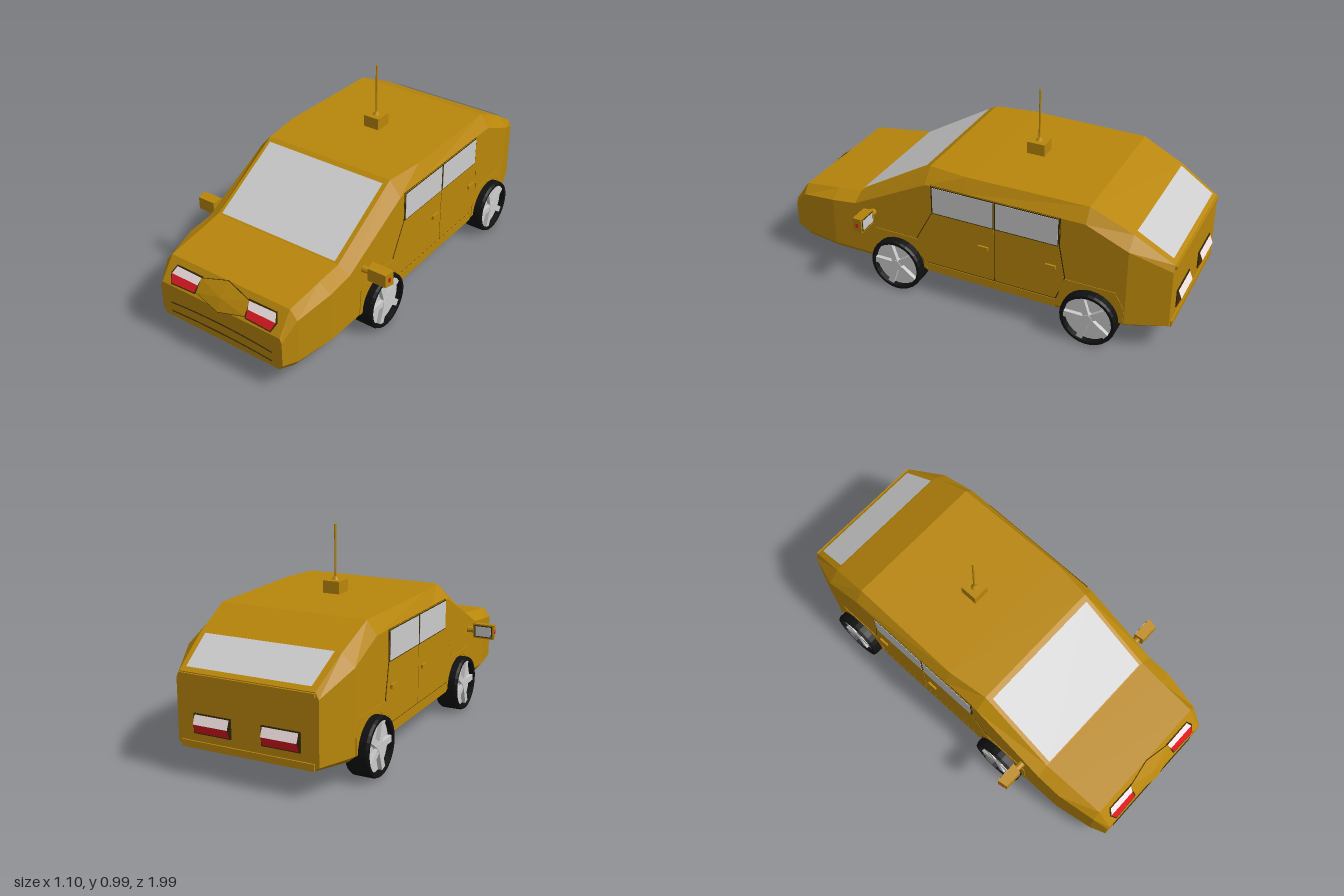
import * as THREE from 'three';

const mat = (color, extra = {}) => new THREE.MeshStandardMaterial({ color, flatShading: true, ...extra });
const GOLD = mat(0xb8860b);
const SEAM = mat(0x3a2c08, { side: THREE.DoubleSide });
const GREY = mat(0xcccccc, { side: THREE.DoubleSide });
const BLACK = mat(0x111111);
const RED = mat(0xdd1820, { side: THREE.DoubleSide });
const WHITE = mat(0xf4e4e4, { side: THREE.DoubleSide });
const GOLD2 = mat(0xb8860b, { side: THREE.DoubleSide });

function add(parent, name, geometry, material, x = 0, y = 0, z = 0) {
  const m = new THREE.Mesh(geometry, material);
  m.name = name;
  m.position.set(x, y, z);
  parent.add(m);
  return m;
}

function buffer(pos, index) {
  const g = new THREE.BufferGeometry();
  g.setAttribute('position', new THREE.Float32BufferAttribute(pos, 3));
  g.setIndex(index);
  const flat = g.toNonIndexed();
  flat.computeVertexNormals();
  return flat;
}

// Flat polygon fanned around its centre; bulge moves the centre along z
function panel(pts, bulge = 0) {
  const n = pts.length, c = [0, 1, 2].map(k => pts.reduce((t, p) => t + p[k], 0) / n);
  c[2] += bulge;
  const index = [];
  for (let i = 0; i < n; i++) index.push(0, i + 1, ((i + 1) % n) + 1);
  return buffer([c, ...pts].flat(), index);
}

// Body shell from eight-sided sections: z, bottom, sill, shoulder, top, half widths (bottom, side, top)
function bodyGeometry() {
  const sections = [
    [0.985, 0.12, 0.145, 0.265, 0.29, 0.325, 0.345, 0.335],
    [0.91, 0.10, 0.135, 0.35, 0.395, 0.345, 0.372, 0.335],
    [0.72, 0.10, 0.14, 0.385, 0.42, 0.37, 0.405, 0.34],
    [0.59, 0.10, 0.14, 0.40, 0.437, 0.37, 0.405, 0.345],
    [0.20, 0.10, 0.14, 0.60, 0.67, 0.37, 0.405, 0.345],
    [0.00, 0.10, 0.14, 0.605, 0.673, 0.37, 0.405, 0.37],
    [-0.59, 0.10, 0.14, 0.605, 0.67, 0.37, 0.405, 0.36],
    [-0.79, 0.11, 0.14, 0.52, 0.575, 0.37, 0.405, 0.345],
    [-0.975, 0.125, 0.145, 0.43, 0.46, 0.31, 0.34, 0.325],
  ];
  const pos = [], index = [], n = 8;
  for (const [z, y0, yl, ys, yt, wb, w, wt] of sections) {
    const half = [[wb, y0], [w, yl], [w, ys], [wt, yt]];
    const ring = [...half, ...half.slice().reverse().map(([x, y]) => [-x, y])];
    ring.forEach(([x, y]) => pos.push(x, y, z));
  }
  const last = (sections.length - 1) * n;
  for (let i = 0; i < last; i += n) {
    for (let j = 0; j < n; j++) {
      const a = i + j, b = i + (j + 1) % n, c = b + n, d = a + n;
      index.push(a, d, c, a, c, b);
    }
  }
  for (let j = 1; j < n - 1; j++) {
    index.push(0, j, j + 1);
    index.push(last, last + j + 1, last + j);
  }
  return buffer(pos, index);
}

// Thin side panel drawn in (z, y), placed on one flank
function flankPanel(parent, name, pts, s, x, depth, material, arch) {
  const shape = new THREE.Shape(pts.map(([z, y]) => new THREE.Vector2(-z, y)));
  if (arch) shape.absarc(-arch[0], arch[1], arch[2], Math.PI, 0, true);
  const g = new THREE.ExtrudeGeometry(shape, { depth, bevelEnabled: false });
  g.rotateY(Math.PI / 2); // shape x becomes -z, depth becomes +x
  g.translate(s > 0 ? x : -x - depth, 0, 0);
  return add(parent, name, g, material);
}

function makeWheel(s) {
  const wheel = new THREE.Group();
  const profile = [[0.11, 0], [0.128, 0], [0.135, 0.012], [0.135, 0.098], [0.13, 0.11], [0.117, 0.11], [0.114, 0.07]]
    .map(([r, y]) => new THREE.Vector2(r, y));
  add(wheel, 'tyre', new THREE.LatheGeometry(profile, 28), mat(0x111111, { side: THREE.DoubleSide }));
  add(wheel, 'innerDisc', new THREE.CylinderGeometry(0.125, 0.125, 0.01, 28), GOLD, 0, 0.003, 0);
  add(wheel, 'rimDish', new THREE.CylinderGeometry(0.116, 0.116, 0.01, 28), GREY, 0, 0.078, 0);
  add(wheel, 'hub', new THREE.CylinderGeometry(0.026, 0.032, 0.022, 10), GREY, 0, 0.094, 0);
  for (let i = 0; i < 5; i++) {
    const arm = new THREE.Group();
    arm.name = 'spoke';
    arm.rotation.y = (i / 5) * Math.PI * 2;
    add(arm, 'spokeBar', new THREE.BoxGeometry(0.03, 0.02, 0.095), GREY, 0, 0.093, 0.066);
    wheel.add(arm);
  }
  wheel.rotation.z = -s * Math.PI / 2;
  return wheel;
}

function makeMirror(s) {
  const g = new THREE.Group();
  g.name = s > 0 ? 'leftMirror' : 'rightMirror';
  const arm = add(g, 'mirrorArm', new THREE.CylinderGeometry(0.013, 0.018, 0.06, 8), GOLD, s * 0.425, 0.382, 0.487);
  arm.rotation.z = -s * Math.PI / 2;
  // Housing narrows towards the front
  const house = new THREE.BoxGeometry(0.11, 0.074, 0.05), p = house.attributes.position;
  for (let i = 0; i < p.count; i++) {
    if (p.getZ(i) > 0) p.setXYZ(i, p.getX(i) * 0.85, p.getY(i) * 0.85, p.getZ(i));
  }
  house.computeVertexNormals();
  add(g, 'mirrorHousing', house, GOLD, s * 0.495, 0.383, 0.49);
  add(g, 'mirrorFrame', new THREE.BoxGeometry(0.092, 0.06, 0.003), SEAM, s * 0.495, 0.383, 0.465);
  add(g, 'mirrorGlass', new THREE.BoxGeometry(0.082, 0.05, 0.004), GREY, s * 0.495, 0.383, 0.464);
  add(g, 'mirrorIndicator', new THREE.BoxGeometry(0.004, 0.02, 0.012), RED, s * 0.547, 0.383, 0.49);
  return g;
}

export function createModel() {
  const car = new THREE.Group();
  car.name = 'car';
  add(car, 'body', bodyGeometry(), GOLD);

  // Windscreen and rear window lie just above the sloping shell
  add(car, 'windscreen', panel([[-0.325, 0.445, 0.587], [0.325, 0.445, 0.587], [0.325, 0.66, 0.227], [-0.325, 0.66, 0.227]]), GREY);
  add(car, 'rearWindow', panel([[-0.315, 0.58, -0.793], [0.315, 0.58, -0.793], [0.30, 0.477, -0.959], [-0.30, 0.477, -0.959]]), GREY);

  // Nose: diamond centre, lamps on the slope, curved bumper lines
  const slope = (x, y, lift = 0.004) => [x, y + lift * 0.58, 0.985 - (y - 0.29) * 0.714 + lift * 0.81];
  const diamond = k => [[0, 0.337 + 0.058 * k], [0.14 * k, 0.337 + 0.025 * k], [0.14 * k, 0.337 - 0.03 * k],
    [0, 0.337 - 0.058 * k], [-0.14 * k, 0.337 - 0.03 * k], [-0.14 * k, 0.337 + 0.025 * k]];
  add(car, 'grilleEdge', panel(diamond(1.03).map(([x, y]) => slope(x, y, 0.002))), SEAM);
  add(car, 'grille', panel(diamond(0.99).map(([x, y]) => slope(x, y, 0.005)), 0.012), GOLD2);
  [[0.195, 0.209], [0.148, 0.158]].forEach(([yEnd, yMid]) => {
    const curve = new THREE.QuadraticBezierCurve3(new THREE.Vector3(-0.29, yEnd, 0.985),
      new THREE.Vector3(0, 2 * yMid - yEnd, 0.985), new THREE.Vector3(0.29, yEnd, 0.985));
    add(car, 'bumperLine', new THREE.TubeGeometry(curve, 16, 0.0035, 6), SEAM);
  });

  // Rear panel: bumper strip and lip under the window
  add(car, 'rearLip', new THREE.BoxGeometry(0.65, 0.018, 0.02), GOLD, 0, 0.447, -0.974);
  add(car, 'rearBumper', new THREE.BoxGeometry(0.64, 0.03, 0.014), GOLD, 0, 0.145, -0.975);

  for (const s of [1, -1]) {
    // Headlamp, white above red
    const lamp = (name, pts, lift, m) => add(car, name, panel(pts.map(([x, y]) => slope(s * x, y, lift))), m);
    lamp('headlampFrame', [[0.13, 0.37], [0.285, 0.37], [0.304, 0.335], [0.285, 0.296], [0.142, 0.3]], 0.003, SEAM);
    lamp('headlampWhite', [[0.136, 0.363], [0.28, 0.365], [0.296, 0.333], [0.143, 0.333]], 0.006, WHITE);
    lamp('headlampRed', [[0.143, 0.333], [0.296, 0.333], [0.282, 0.301], [0.148, 0.305]], 0.006, RED);

    // Tail lamp: sloped white top over a red lens
    const tail = (name, y0, z0, y1, z1, m) => add(car, name,
      panel([[s * 0.08, y0, z0], [s * 0.25, y0, z0], [s * 0.25, y1, z1], [s * 0.08, y1, z1]]), m);
    add(car, 'tailLampFrame', new THREE.BoxGeometry(0.184, 0.09, 0.006), SEAM, s * 0.165, 0.24, -0.977);
    tail('tailLampWhite', 0.28, -0.982, 0.24, -0.998, WHITE);
    tail('tailLampRed', 0.24, -0.998, 0.2, -0.982, RED);

    // Doors as thin raised panels over dark outlines
    const front = [[0.165, 0.605], [0.165, 0.46], [0.25, 0.3], [0.22, 0.18], [-0.153, 0.18], [-0.153, 0.605]];
    const rear = [[-0.157, 0.605], [-0.157, 0.18], [-0.46, 0.18], [-0.5, 0.3], [-0.47, 0.46], [-0.47, 0.605]];
    const outline = [[0.169, 0.606], [0.169, 0.46], [0.255, 0.3], [0.224, 0.176], [-0.464, 0.176], [-0.505, 0.3], [-0.475, 0.46], [-0.475, 0.606]];
    flankPanel(car, 'doorSeam', outline, s, 0.403, 0.003, SEAM);
    [front, rear].forEach(d => flankPanel(car, 'door', d, s, 0.403, 0.005, GOLD));
    [[0.16, -0.148], [-0.162, -0.465]].forEach(([a, b]) => {
      const pane = e => [[a + e, 0.465 - e], [b - e, 0.465 - e], [b - e, 0.598 + e], [a + e, 0.598 + e]];
      flankPanel(car, 'sideWindowFrame', pane(0.005), s, 0.404, 0.005, SEAM);
      flankPanel(car, 'sideWindow', pane(0), s, 0.404, 0.007, GREY);
    });
    for (const z of [-0.1, -0.435]) {
      add(car, 'doorHandle', new THREE.BoxGeometry(0.014, 0.018, 0.05), GOLD, s * 0.411, 0.347, z);
    }
    flankPanel(car, 'sill', [[0.2, 0.13], [-0.46, 0.13], [-0.46, 0.172], [0.2, 0.172]], s, 0.403, 0.004, GOLD);

    // Wheel arches and wheels
    for (const [z, name] of [[0.355, 'front'], [-0.63, 'rear']]) {
      flankPanel(car, name + 'Arch', [[z - 0.142, 0.14], [z - 0.155, 0.14], [z - 0.155, 0.22], [z - 0.11, 0.295],
        [z + 0.125, 0.295], [z + 0.15, 0.27], [z + 0.16, 0.14], [z + 0.142, 0.14]], s, 0.403, 0.005, GOLD, [z, 0.14, 0.142]);
      const wheel = makeWheel(s);
      wheel.name = name + 'Wheel';
      wheel.position.set(s * 0.34, 0.135, z);
      car.add(wheel);
    }
    car.add(makeMirror(s));
  }

  // Roof aerial
  add(car, 'aerialBase', new THREE.BoxGeometry(0.084, 0.065, 0.088), GOLD, 0, 0.698, -0.192);
  add(car, 'aerialCollar', new THREE.CylinderGeometry(0.006, 0.018, 0.016, 10), GOLD, 0, 0.738, -0.192);
  add(car, 'aerialRod', new THREE.CylinderGeometry(0.005, 0.005, 0.25, 8), GOLD, 0, 0.865, -0.192);
  return car;
}
